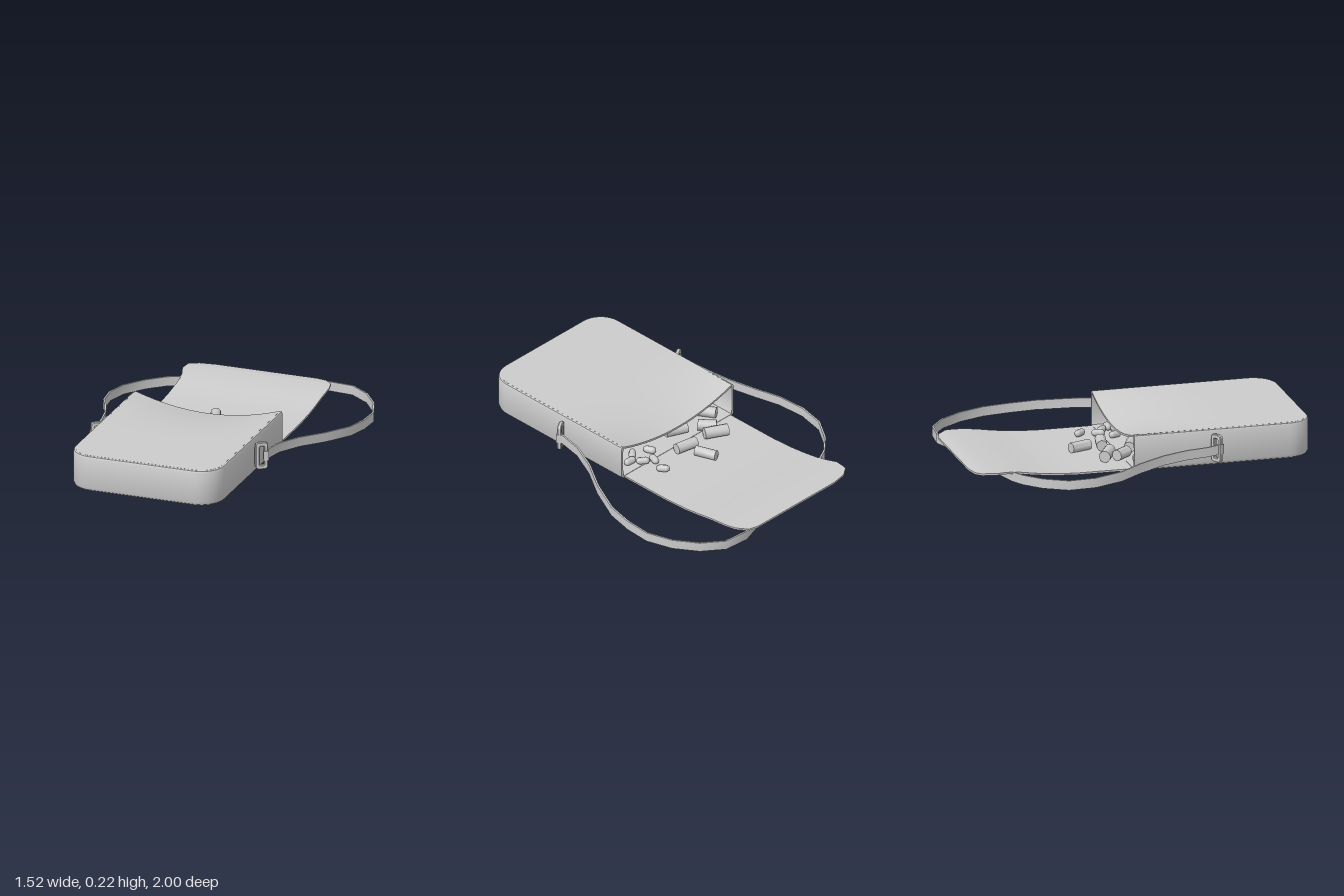
import * as THREE from 'three';
import { toCreasedNormals } from 'three/addons/utils/BufferGeometryUtils.js';

const mat = new THREE.MeshStandardMaterial({ color: 0xcccccc, side: THREE.DoubleSide });
const V = (x, y, z) => new THREE.Vector3(x, y, z);

function mesh(name, geometry, parent) {
  const m = new THREE.Mesh(geometry, mat);
  m.name = name;
  parent.add(m);
  return m;
}

// Piecewise-linear lookup in a table of [t, value], t rising
function lookup(table, t) {
  for (let i = 1; i < table.length; i++) {
    const [a, va] = table[i - 1], [b, vb] = table[i];
    if (t <= b) return va + (vb - va) * Math.max(0, (t - a) / (b - a));
  }
  return table[table.length - 1][1];
}

// Skin closed cross-sections, with both ends closed off
function loft(sections) {
  const centre = s => s.reduce((a, p) => a.add(p), V(0, 0, 0)).divideScalar(s.length);
  const cap = s => s.map(() => centre(s));
  const rings = [cap(sections[0]), ...sections, cap(sections[sections.length - 1])];
  const n = rings[0].length, pos = [], idx = [];
  rings.forEach(r => r.forEach(p => pos.push(p.x, p.y, p.z)));
  for (let i = 0; i < rings.length - 1; i++) for (let j = 0; j < n; j++) {
    const a = i * n + j, b = i * n + (j + 1) % n;
    idx.push(a, b, b + n, a, b + n, a + n);
  }
  const g = new THREE.BufferGeometry();
  g.setAttribute('position', new THREE.Float32BufferAttribute(pos, 3));
  g.setIndex(idx);
  return toCreasedNormals(g, 0.7);
}

// Thin panel: rows along z, each stretched between left(z) and right(z), height(x, z, u)
function panel(rows, xMin, xMax, height, thickness) {
  const g = new THREE.BoxGeometry(1, 1, 1, 14, 1, rows.length - 1);
  const p = g.attributes.position;
  for (let i = 0; i < p.count; i++) {
    const z = rows[Math.round((p.getZ(i) + 0.5) * (rows.length - 1))];
    const u = p.getX(i) * 2;
    const x = THREE.MathUtils.lerp(xMin(z), xMax(z), p.getX(i) + 0.5);
    p.setXYZ(i, x, height(x, z, u) + p.getY(i) * thickness, z);
  }
  g.computeVertexNormals();
  return g;
}

const CX = -0.045, HALF = 0.455, BACK = -0.06, FRONT = 1, R = 0.14;

function addBody(group) {
  // Side wall: a bevelled strip swept round the U-shaped outline
  const outline = [[HALF, BACK, 1, 0]];
  for (let i = 0; i <= 8; i++) {
    const a = i / 8 * Math.PI / 2, c = Math.cos(a), s = Math.sin(a);
    outline.push([HALF - R + R * c, FRONT - R + R * s, c, s]);
  }
  outline.push(...outline.slice().reverse().map(([x, z, nx, nz]) => [-x, z, -nx, nz]));
  const profile = [[0.016, 0.22], [0.005, 0.216], [0, 0.205], [0, 0.03], [0.006, 0.014], [0.018, 0.008],
    [0.018, 0.02], [0.012, 0.03], [0.012, 0.2], [0.016, 0.208]];
  mesh('bagSideWall', loft(outline.map(([x, z, nx, nz]) =>
    profile.map(([d, y]) => V(CX + x - nx * d, y, z - nz * d)))), group);

  // Front and back panels of the lying bag; the upper one sags at the mouth
  const inset = 0.014, r = R - inset, rows = [];
  for (let i = 0; i <= 10; i++) rows.push(BACK + (FRONT - R - BACK) * i / 10);
  for (let i = 1; i <= 8; i++) rows.push(FRONT - R + r * Math.sin(i / 8 * Math.PI / 2));
  const half = z => {
    const d = Math.min(r, Math.max(0, z - FRONT + R));
    return HALF - R + Math.sqrt(r * r - d * d);
  };
  const left = z => CX - half(z), right = z => CX + half(z);
  const sag = (z, u) => 0.075 * (1 - u * u) * Math.max(0, 1 - (z - BACK) / 0.6) ** 2;
  mesh('bagUpperPanel', panel(rows, left, right, (x, z, u) => 0.214 - sag(z, u), 0.012), group);
  mesh('bagLowerPanel', panel(rows, left, right, () => 0.014, 0.012), group);
}

function addFlap(group) {
  const xMin = [[-1, -0.36], [-0.985, -0.45], [-0.95, -0.5], [-0.87, -0.51], [-0.77, -0.475], [0, -0.475]];
  const xMax = [[-1, 0.26], [-0.985, 0.32], [-0.93, 0.37], [-0.86, 0.385], [0, 0.385]];
  const lift = [[-1, 0.056], [-0.93, 0.063], [-0.85, 0.06], [-0.75, 0.05], [-0.65, 0.034], [-0.55, 0.022],
    [-0.4, 0.013], [0, 0.012]];
  const rows = [-1, -0.985, -0.95, -0.93, -0.87, -0.81, -0.75, -0.7, -0.65, -0.6, -0.55, -0.47, -0.4, -0.2, BACK + 0.01];
  mesh('flap', panel(rows, z => lookup(xMin, z), z => lookup(xMax, z), (x, z) => lookup(lift, z), 0.011), group);
}

function addStrap(group) {
  // Band standing on edge: x, centre height, z
  const path = [
    [-0.56, 0.115, 0.42], [-0.572, 0.11, 0.36], [-0.585, 0.105, 0.22], [-0.615, 0.095, 0.08],
    [-0.67, 0.078, -0.07], [-0.73, 0.058, -0.2], [-0.757, 0.042, -0.36], [-0.735, 0.032, -0.51],
    [-0.65, 0.029, -0.64], [-0.55, 0.029, -0.73], [-0.47, 0.029, -0.77], [-0.3, 0.033, -0.82],
    [-0.1, 0.029, -0.87], [0.1, 0.029, -0.92], [0.25, 0.033, -0.955], [0.34, 0.031, -0.984],
    [0.49, 0.031, -0.97], [0.61, 0.032, -0.88], [0.7, 0.034, -0.75], [0.753, 0.038, -0.6],
    [0.753, 0.046, -0.45], [0.73, 0.058, -0.3], [0.65, 0.078, -0.11], [0.555, 0.095, 0.05],
    [0.49, 0.108, 0.21], [0.465, 0.113, 0.36], [0.472, 0.115, 0.39],
  ].map(p => V(...p));
  const w = 0.028, t = 0.005;
  mesh('strap', loft(path.map((p, i) => {
    const d = path[Math.min(i + 1, path.length - 1)].clone().sub(path[Math.max(i - 1, 0)]);
    const side = V(-d.z, 0, d.x).normalize();
    return [[t, w], [-t, w], [-t, -w], [t, -w]].map(([a, b]) => p.clone().addScaledVector(side, a).add(V(0, b, 0)));
  })), group);
}

function roundedRect(target, w, h, r) {
  const x = w / 2, y = h / 2;
  target.moveTo(-x + r, -y).lineTo(x - r, -y).quadraticCurveTo(x, -y, x, -y + r)
    .lineTo(x, y - r).quadraticCurveTo(x, y, x - r, y)
    .lineTo(-x + r, y).quadraticCurveTo(-x, y, -x, y - r)
    .lineTo(-x, -y + r).quadraticCurveTo(-x, -y, -x + r, -y);
  return target;
}

// Metal loop holding one strap end; inward is the side facing the bag
function addBuckle(group, name, x, z, inward) {
  const buckle = new THREE.Group();
  buckle.name = name;
  buckle.position.set(x, 0.117, z);
  buckle.rotation.y = 0.55;
  const shape = roundedRect(new THREE.Shape(), 0.066, 0.155, 0.018);
  shape.holes.push(roundedRect(new THREE.Path(), 0.034, 0.122, 0.01));
  const g = new THREE.ExtrudeGeometry(shape, {
    depth: 0.014, bevelThickness: 0.005, bevelSize: 0.004, bevelSegments: 1, curveSegments: 4 });
  g.translate(0, 0, -0.007);
  mesh('buckleFrame', g, buckle);
  mesh('strapWrap', new THREE.BoxGeometry(0.028, 0.056, 0.034), buckle).position.x = -inward * 0.026;
  mesh('bagTab', new THREE.BoxGeometry(0.03, 0.1, 0.012), buckle).position.x = inward * 0.026;
  group.add(buckle);
}

function addContents(group) {
  const contents = new THREE.Group();
  contents.name = 'contents';
  group.add(contents);
  // Rolls: end points x1, z1, x2, z2, radius
  [[-0.095, -0.32, -0.05, -0.2, 0.03], [-0.325, -0.185, -0.2, -0.12, 0.034], [-0.11, -0.14, 0.02, -0.115, 0.032],
    [-0.31, -0.11, -0.24, -0.03, 0.032], [-0.4, -0.02, -0.34, 0.08, 0.032], [-0.18, 0, -0.06, 0.05, 0.032],
  ].forEach(([x1, z1, x2, z2, r]) => {
    const m = mesh('roll', new THREE.CylinderGeometry(r, r, Math.hypot(x2 - x1, z2 - z1), 10), contents);
    m.geometry = toCreasedNormals(m.geometry, 0.8);
    m.position.set((x1 + x2) / 2, 0.018 + r, (z1 + z2) / 2);
    m.quaternion.setFromUnitVectors(V(0, 1, 0), V(x2 - x1, 0, z2 - z1).normalize());
  });
  // Capsules: centre x, z, heading
  [[0.2, -0.185, 0.7], [0.17, -0.085, -0.3], [0.225, -0.05, 0.9], [0.28, 0, 1.5], [0.12, 0, 0.4], [0.22, 0.04, -0.8]]
    .forEach(([x, z, a]) => {
      const m = mesh('capsule', new THREE.CapsuleGeometry(0.021, 0.036, 3, 8), contents);
      m.position.set(x, 0.04, z);
      m.rotation.set(Math.PI / 2, 0, -a);
    });
}

export function createModel() {
  const group = new THREE.Group();
  group.name = 'openSatchel';
  addBody(group);
  addFlap(group);
  addStrap(group);
  addBuckle(group, 'leftBuckle', 0.452, 0.383, -1);
  addBuckle(group, 'rightBuckle', -0.535, 0.418, 1);
  addContents(group);
  return group;
}
